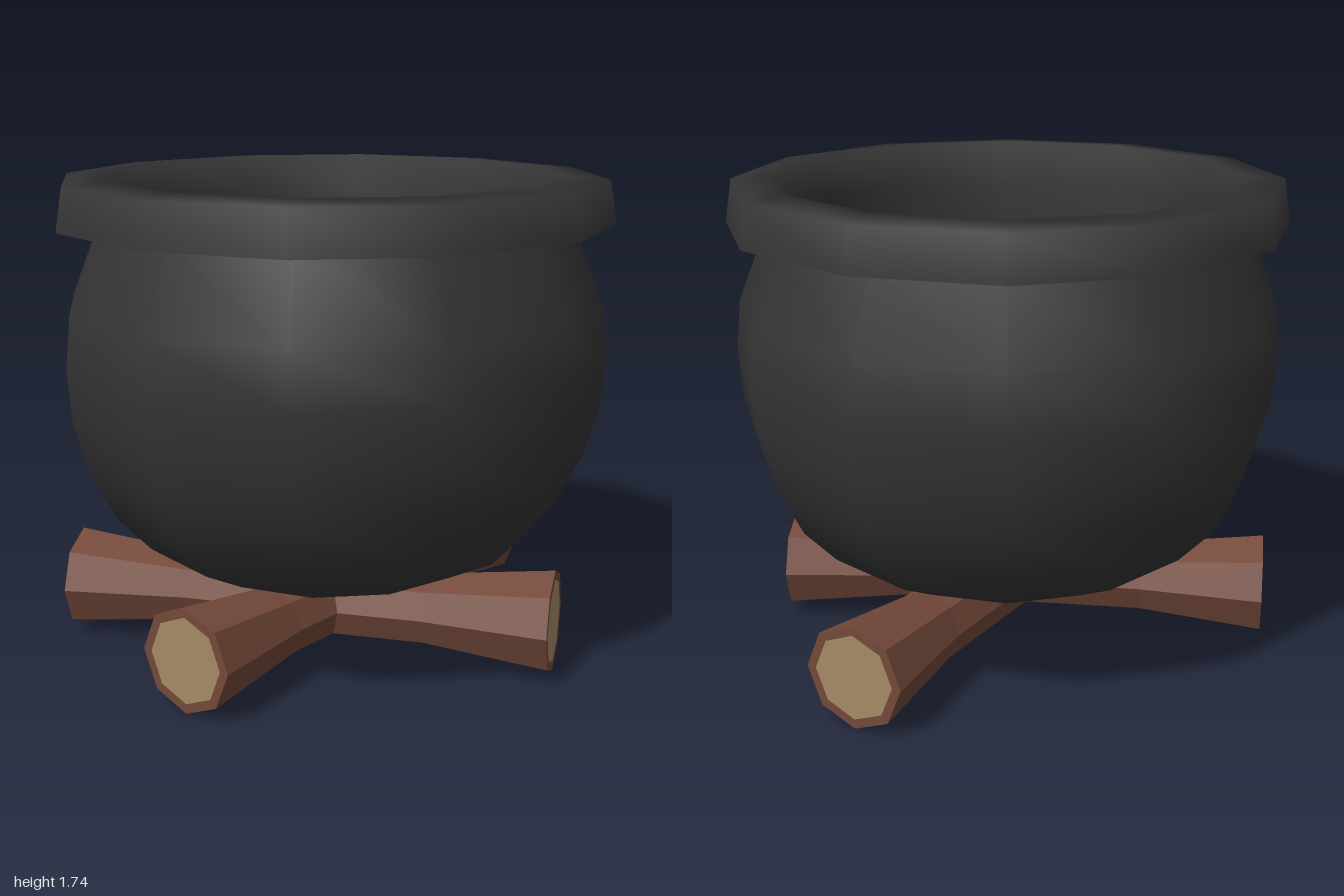
import * as THREE from 'three';

const SIDES = 12;
const iron = new THREE.MeshStandardMaterial({ color: 0x343434 });
const brew = new THREE.MeshStandardMaterial({ color: 0x669415 });
const bark = new THREE.MeshStandardMaterial({ color: 0x74493a, flatShading: true });
const cutWood = new THREE.MeshStandardMaterial({ color: 0xa58a66, flatShading: true });

function mesh(name, geometry, material) {
  const m = new THREE.Mesh(geometry, material);
  m.name = name;
  return m;
}

function lathe(name, profile, sides, material) {
  const points = profile.map(([r, y]) => new THREE.Vector2(r, y));
  return mesh(name, new THREE.LatheGeometry(points, sides), material);
}

// A log along z with flared ends and pale cut faces
function createLog(name, x, z, turn) {
  const half = 0.905, flare = 0.19, waist = 0.135, cut = 0.155;
  const log = new THREE.Group();
  log.name = name;
  const trunk = lathe('bark', [
    [cut, -half], [flare, -half], [waist, -0.45],
    [waist, 0.45], [flare, half], [cut, half],
  ], 8, bark);
  trunk.rotation.x = Math.PI / 2;
  log.add(trunk);
  for (const end of [1, -1]) {
    const face = mesh('cutEnd', new THREE.CircleGeometry(cut, 8), cutWood);
    face.position.z = end * half;
    if (end < 0) face.rotation.y = Math.PI;
    log.add(face);
  }
  log.position.set(x, 0.197, z);
  log.rotation.y = turn;
  return log;
}

export function createModel() {
  const model = new THREE.Group();
  model.name = 'cauldronOnLogs';

  // Round-bellied pot
  model.add(lathe('potBody', [
    [0, 0.3], [0.28, 0.307], [0.52, 0.345], [0.7, 0.435], [0.82, 0.56], [0.91, 0.735],
    [0.967, 0.92], [0.983, 1.11], [0.965, 1.3], [0.85, 1.59],
  ], SIDES, iron));

  // Heavy rim, its underside and the inner wall
  model.add(lathe('rim', [
    [1, 1.585], [0.975, 1.738], [0.83, 1.75], [0.79, 1.6], [0.79, 1.36],
  ], SIDES, iron));
  model.add(lathe('rimUnderside', [[0.83, 1.585], [1, 1.585]], SIDES, iron));

  // Liquid surface
  const liquid = mesh('liquid', new THREE.CircleGeometry(0.792, SIDES), brew);
  liquid.rotation.x = -Math.PI / 2;
  liquid.position.y = 1.37;
  model.add(liquid);

  // Crossed firewood
  model.add(createLog('straightLog', 0.05, -0.035, 0));
  model.add(createLog('slantedLog', 0.003, 0.14, Math.PI / 2 + 0.386));
  return model;
}
